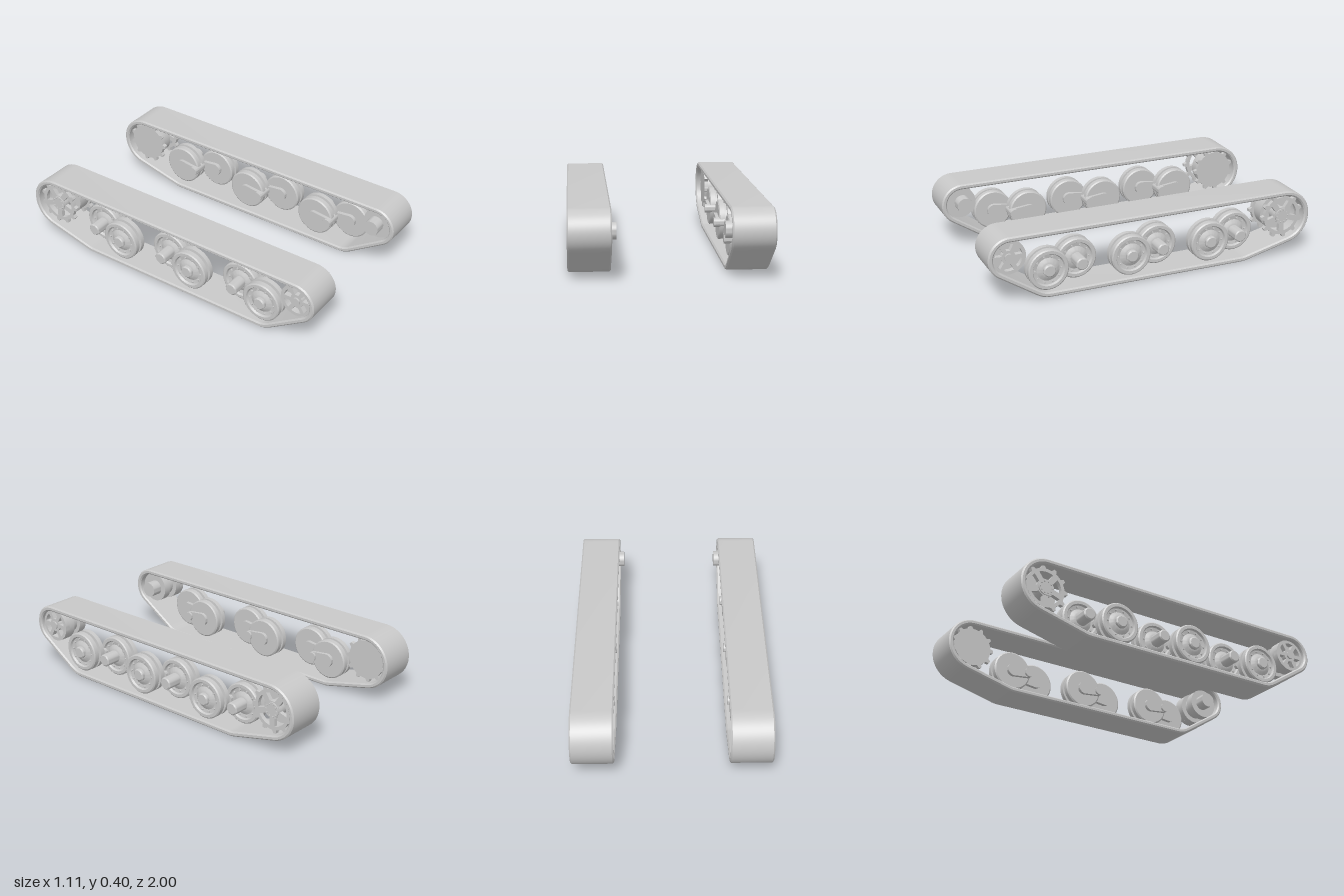
import * as THREE from 'three';
import { toCreasedNormals } from 'three/addons/utils/BufferGeometryUtils.js';

const steel = new THREE.MeshStandardMaterial({ color: 0xc8c8c8 });
steel.name = 'grey steel';

// Guide circles of the track loop, counter-clockwise in (z, y): z, y, radius
const GUIDES = [
  [0.875, 0.272, 0.125],
  [-0.835, 0.235, 0.165],
  [-0.555, 0.155, 0.155],
  [0.64, 0.155, 0.155],
];

// Belt outline round the guide circles, moved inwards by inset
function beltPoints(inset) {
  const n = GUIDES.length;
  const tangent = GUIDES.map(([z, y, r], i) => {
    const [z2, y2, r2] = GUIDES[(i + 1) % n];
    const d = Math.hypot(z2 - z, y2 - y);
    return Math.atan2(y2 - y, z2 - z) - Math.acos((r - r2) / d);
  });
  const pts = [];
  GUIDES.forEach(([z, y, r], i) => {
    const a0 = tangent[(i + n - 1) % n];
    let sweep = tangent[i] - a0;
    while (sweep < 0) sweep += Math.PI * 2;
    while (sweep > Math.PI * 2) sweep -= Math.PI * 2;
    const steps = Math.max(4, Math.ceil(sweep / 0.12));
    for (let k = 0; k <= steps; k++) {
      const a = a0 + (sweep * k) / steps;
      pts.push(new THREE.Vector2(z + (r - inset) * Math.cos(a), y + (r - inset) * Math.sin(a)));
    }
  });
  return pts;
}

function addMesh(parent, name, geometry, crease = 0.6) {
  const mesh = new THREE.Mesh(toCreasedNormals(geometry, crease), steel);
  mesh.name = name;
  parent.add(mesh);
  return mesh;
}

// Extrude a (z, y) shape from x = s*xa to x = s*xb
function extrudeX(shape, s, xa, xb, bevel = 0) {
  const geo = new THREE.ExtrudeGeometry(shape, {
    depth: xb - xa - 2 * bevel, curveSegments: 32, bevelEnabled: bevel > 0,
    bevelSize: bevel, bevelThickness: bevel, bevelOffset: -bevel, bevelSegments: 1,
  });
  geo.rotateY(-Math.PI / 2);
  geo.translate((s > 0 ? xb : -xa) - bevel, 0, 0);
  return geo;
}

// Turn a profile of [radius, distance outwards] about the x axis
function turnX(profile, s, segments = 40) {
  const geo = new THREE.LatheGeometry(profile.map(([r, x]) => new THREE.Vector2(r, x)), segments);
  return geo.rotateZ(-s * Math.PI / 2);
}

const rod = (r, xa, xb, s, segments = 24) =>
  turnX([[0, xa], [r, xa], [r, xb], [0, xb]], s, segments);

// Ring of bolts about the hub
function bolts(parent, s, count, ring, r, xa, xb) {
  for (let i = 0; i < count; i++) {
    const a = (i / count) * Math.PI * 2;
    const bolt = addMesh(parent, 'bolt', rod(r, xa, xb, s, 8));
    bolt.position.set(0, ring * Math.sin(a), ring * Math.cos(a));
  }
}

// Cut equal windows between spokes
function cutWindows(shape, count, r0, r1, fill, turn) {
  for (let i = 0; i < count; i++) {
    const mid = turn + (i / count) * Math.PI * 2;
    const half = (Math.PI / count) * fill;
    const hole = new THREE.Path();
    hole.absarc(0, 0, r1, mid - half, mid + half, false);
    hole.absarc(0, 0, r0, mid + half * 0.7, mid - half * 0.7, true);
    hole.closePath();
    shape.holes.push(hole);
  }
}

function disc(r) {
  const shape = new THREE.Shape();
  shape.absarc(0, 0, r, 0, Math.PI * 2, false);
  return shape;
}

function group(parent, name, y, z) {
  const g = new THREE.Group();
  g.name = name;
  g.position.set(0, y, z);
  parent.add(g);
  return g;
}

// Double-tyred road wheel with a dished face; x is its inner face
function roadWheel(parent, s, z, x, stemEnd) {
  const g = group(parent, 'roadWheel', 0.155, z);
  addMesh(g, 'wheelBody', turnX([
    [0, x], [0.112, x], [0.12, x + 0.006], [0.12, x + 0.034], [0.1, x + 0.036],
    [0.1, x + 0.05], [0.12, x + 0.052], [0.12, x + 0.08], [0.113, x + 0.086],
    [0.096, x + 0.086], [0.09, x + 0.074], [0.068, x + 0.07], [0.05, x + 0.08],
    [0.04, x + 0.084], [0, x + 0.084],
  ], s, 48));
  addMesh(g, 'hubCap', turnX([
    [0, x + 0.07], [0.037, x + 0.07], [0.037, stemEnd - 0.006], [0.03, stemEnd], [0, stemEnd],
  ], s, 24));
  bolts(g, s, 10, 0.079, 0.006, x + 0.065, x + 0.08);
}

// Rounded lever in the (z, y) plane between two wheel centres
function lever(parent, s, za, zb, ra, rb, xa, xb) {
  const dir = Math.sign(zb - za);
  const shape = new THREE.Shape();
  const q = Math.PI / 2;
  if (dir > 0) {
    shape.absarc(za, 0, ra, q, 3 * q, false);
    shape.absarc(zb, 0, rb, -q, q, false);
  } else {
    shape.absarc(za, 0, ra, -q, q, false);
    shape.absarc(zb, 0, rb, q, 3 * q, false);
  }
  shape.closePath();
  addMesh(parent, 'swingArm', extrudeX(shape, s, xa, xb));
}

function buildTrack(parent, s) {
  const unit = group(parent, s > 0 ? 'leftTrack' : 'rightTrack', 0, 0);

  // Belt
  const belt = new THREE.Shape(beltPoints(0));
  belt.holes.push(new THREE.Path(beltPoints(0.03)));
  addMesh(unit, 'trackBelt', extrudeX(belt, s, 0.318, 0.557, 0.008), 0.5);

  // Three bogies, each with an outer wheel ahead of an inner one
  for (const z of [0.545, 0.045, -0.455]) {
    roadWheel(unit, s, z + 0.1, 0.448, 0.552);
    roadWheel(unit, s, z - 0.1, 0.358, 0.535);
    const arms = group(unit, 'bogieArms', 0.155, z);
    lever(arms, s, -0.1, 0, 0.04, 0.028, 0.338, 0.36);
    lever(arms, s, 0.1, 0, 0.04, 0.028, 0.425, 0.45);
    addMesh(arms, 'pivotPin', rod(0.028, 0.325, 0.447, s));
  }

  // Front idler: spoked face, backing drum and inboard axle
  const idler = group(unit, 'idler', 0.27, 0.875);
  const face = disc(0.1);
  cutWindows(face, 6, 0.04, 0.08, 0.7, Math.PI / 6);
  addMesh(idler, 'spokedFace', extrudeX(face, s, 0.5, 0.53));
  addMesh(idler, 'idlerDrum', turnX([
    [0, 0.36], [0.094, 0.36], [0.094, 0.41], [0.07, 0.41], [0.07, 0.46],
    [0.1, 0.46], [0.1, 0.5], [0.085, 0.5], [0.085, 0.49], [0, 0.49],
  ], s));
  addMesh(idler, 'idlerHub', rod(0.024, 0.49, 0.54, s));
  const axle = addMesh(idler, 'idlerAxle', rod(0.047, 0.292, 0.37, s, 32));
  axle.position.z = -0.01;

  // Rear sprocket: toothed ring with five windows over a solid drum
  const sprocket = group(unit, 'driveSprocket', 0.237, -0.833);
  const outline = [];
  const teeth = 11;
  for (let i = 0; i < teeth; i++) {
    for (const [f, r] of [[-0.5, 0.118], [-0.22, 0.118], [-0.1, 0.137], [0.1, 0.137], [0.22, 0.118]]) {
      const a = ((i + f) / teeth) * Math.PI * 2;
      outline.push(new THREE.Vector2(r * Math.cos(a), r * Math.sin(a)));
    }
  }
  const ring = new THREE.Shape(outline);
  cutWindows(ring, 5, 0.052, 0.098, 0.72, Math.PI / 2);
  addMesh(sprocket, 'toothedFace', extrudeX(ring, s, 0.5, 0.525));
  addMesh(sprocket, 'innerToothedDisc', extrudeX(new THREE.Shape(outline), s, 0.35, 0.375));
  addMesh(sprocket, 'sprocketDrum', rod(0.104, 0.37, 0.45, s, 40));
  addMesh(sprocket, 'sprocketHub', rod(0.046, 0.44, 0.532, s));
  bolts(sprocket, s, 10, 0.036, 0.005, 0.53, 0.538);
}

export function createModel() {
  const model = new THREE.Group();
  model.name = 'trackUnits';
  for (const s of [1, -1]) buildTrack(model, s);
  return model;
}
